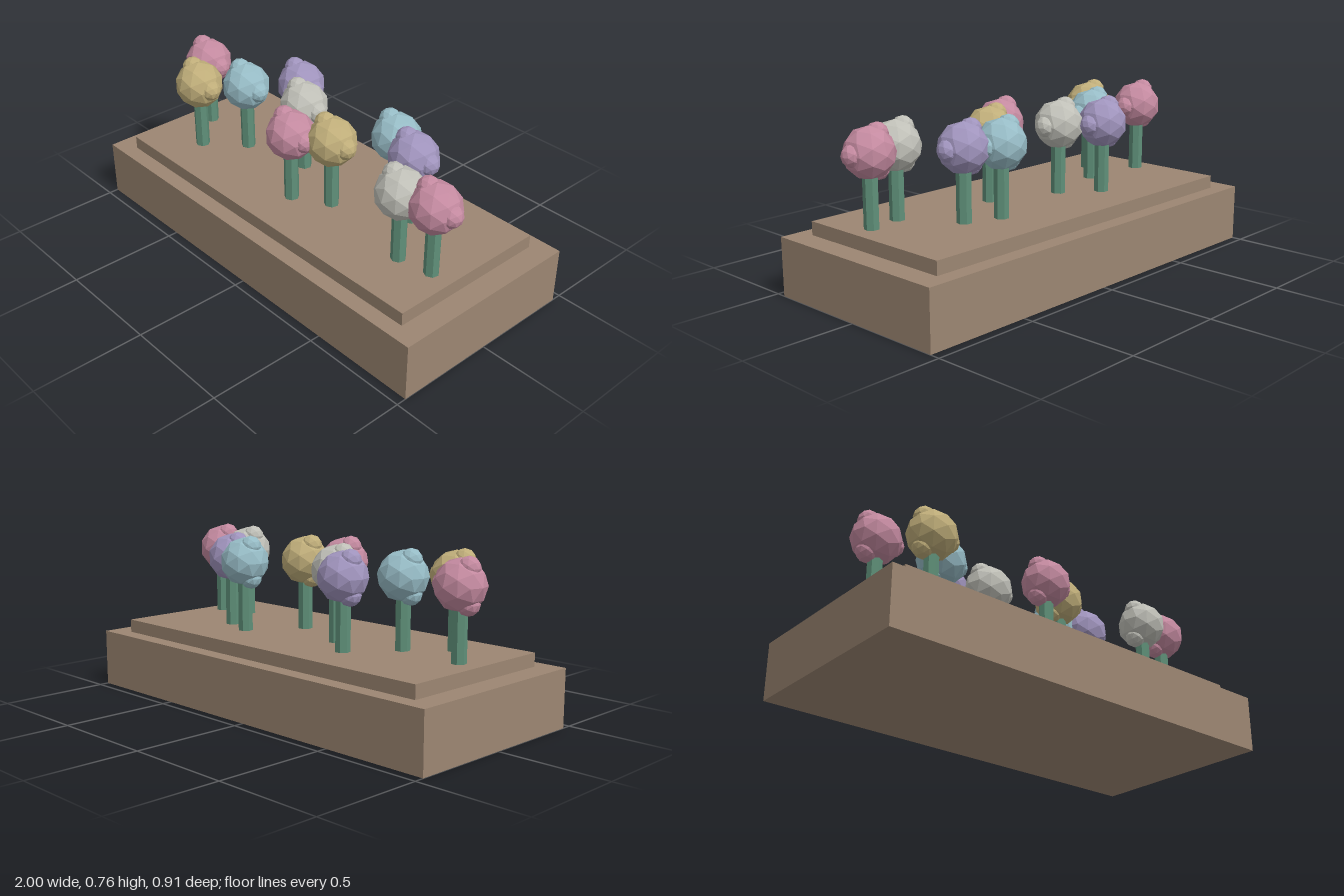
import * as THREE from 'three';

const material = (name, color) => {
  const m = new THREE.MeshStandardMaterial({ color });
  m.name = name;
  return m;
};

// Facet normals for a low-poly look
const faceted = (geometry) => {
  const g = geometry.index ? geometry.toNonIndexed() : geometry;
  g.computeVertexNormals();
  return g;
};

export function createModel() {
  const brown = material('planter brown', 0x9c8672);
  const green = material('stem green', 0x5f9079);
  const bloomColours = [
    material('bloom pink', 0xc48aa0),
    material('bloom gold', 0xc0ae7a),
    material('bloom blue', 0x97bcc6),
    material('bloom purple', 0xa094bd),
    material('bloom white', 0xc0c0b8),
  ];

  const model = new THREE.Group();
  model.name = 'flowerPlanter';

  const add = (parent, name, geometry, mat, x, y, z) => {
    const mesh = new THREE.Mesh(geometry, mat);
    mesh.name = name;
    mesh.position.set(x, y, z);
    parent.add(mesh);
  };

  // Planter block with a raised bed on top
  add(model, 'planterBase', new THREE.BoxGeometry(2, 0.26, 0.912), brown, 0, 0.13, 0);
  add(model, 'plantingBed', new THREE.BoxGeometry(1.79, 0.06, 0.766), brown, 0, 0.29, 0);

  const headY = 0.636;
  const stemHeight = headY - 0.32;
  const stem = faceted(new THREE.CylinderGeometry(0.033, 0.033, stemHeight, 7));
  const head = faceted(new THREE.IcosahedronGeometry(0.111, 1));
  const bud = faceted(new THREE.IcosahedronGeometry(0.049, 1));

  // Eleven flowers, evenly spaced along x and weaving in z
  for (let i = 0; i < 11; i++) {
    const flower = new THREE.Group();
    flower.name = `flower${i + 1}`;
    flower.position.set((i - 5) * 0.1588, 0, 0.176 * Math.sin(i * 1.5));
    model.add(flower);

    const colour = bloomColours[i % bloomColours.length];
    add(flower, 'stem', stem, green, 0, 0.32 + stemHeight / 2, 0);
    add(flower, 'bloomHead', head, colour, 0, headY, 0);

    // Three buds in an upright ring around the head
    for (let k = 0; k < 3; k++) {
      const a = (k * Math.PI * 2) / 3;
      add(flower, `bud${k + 1}`, bud, colour, 0.083 * Math.cos(a), headY + 0.083 * Math.sin(a), 0);
    }
  }
  return model;
}
